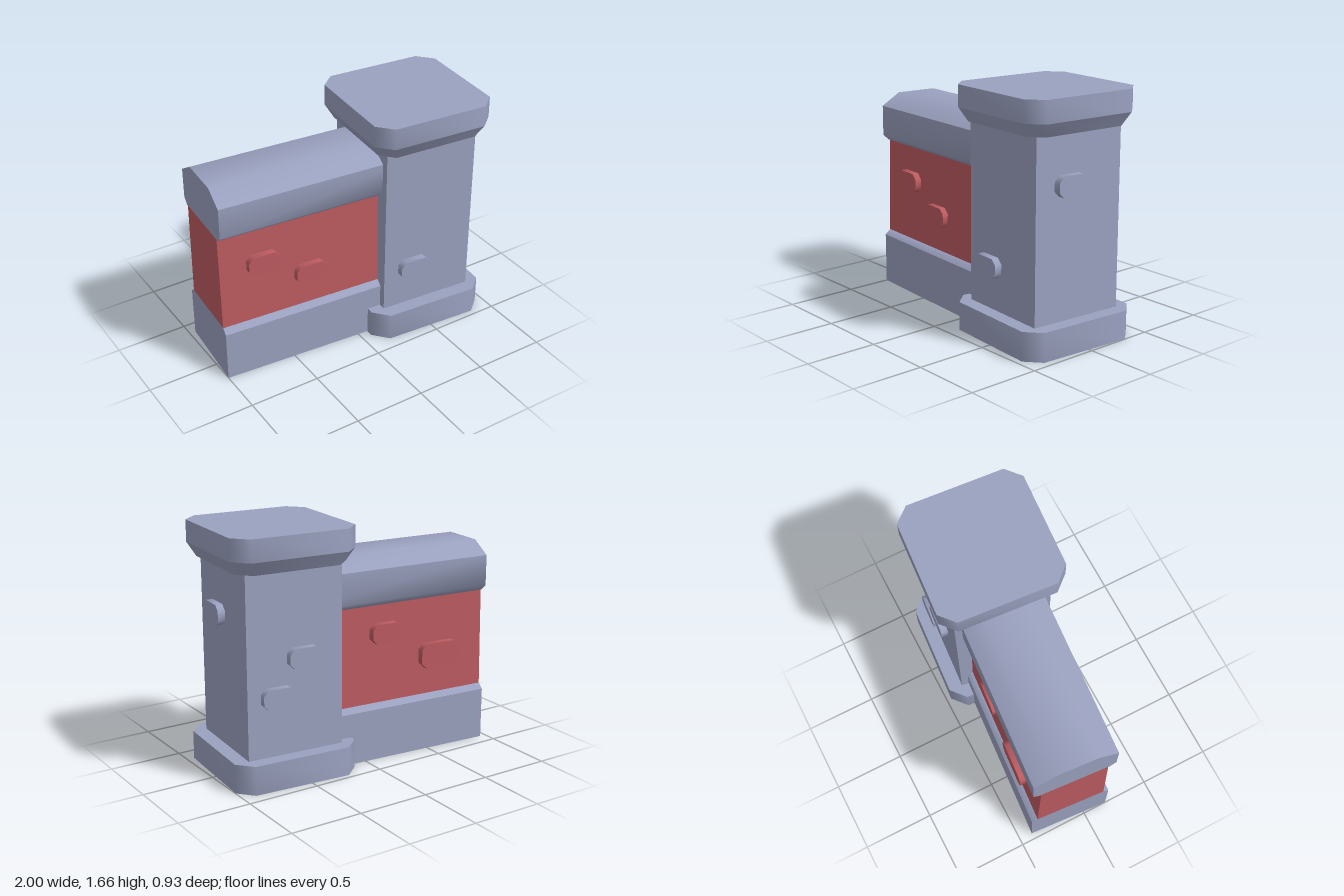
import * as THREE from 'three';
import { toCreasedNormals } from 'three/addons/utils/BufferGeometryUtils.js';

const stone = new THREE.MeshStandardMaterial({ color: 0x9aa1bf });
stone.name = 'blue grey stone';
const brickRed = new THREE.MeshStandardMaterial({ color: 0xbc5b60 });
brickRed.name = 'brick red';

const CREASE = 0.85;
const CZ = -0.043;      // centre line of wall and pillar
const PX = 0.533;       // pillar centre
const WALL_END = -0.984;

const shapeOf = (pts) => new THREE.Shape(pts.map(([x, y]) => new THREE.Vector2(x, y)));

// Rectangle with cut corners
function cutRect(hw, hh, c) {
  return shapeOf([
    [-hw + c, -hh], [hw - c, -hh], [hw, -hh + c], [hw, hh - c],
    [hw - c, hh], [-hw + c, hh], [-hw, hh - c], [-hw, -hh + c],
  ]);
}

const extrude = (shape, depth) => new THREE.ExtrudeGeometry(shape, { depth, bevelEnabled: false });

function mesh(name, geometry, material) {
  const m = new THREE.Mesh(toCreasedNormals(geometry, CREASE), material);
  m.name = name;
  return m;
}

// Wall course: half profile [half width, y] mirrored and run along x
function course(name, half, material) {
  const left = half.map(([w, y]) => [-w, y]).reverse();
  const g = extrude(shapeOf([...half, ...left]), 0.5 - WALL_END);
  g.rotateY(Math.PI / 2).translate(WALL_END, 0, CZ);
  return mesh(name, g, material);
}

// Square pillar block with cut corners; the bottom may be narrower
function block(name, half, cut, y0, y1, bottomScale = 1) {
  const g = extrude(cutRect(half, half, cut), y1 - y0);
  g.rotateX(-Math.PI / 2);
  const p = g.attributes.position;
  for (let i = 0; i < p.count; i++) {
    if (p.getY(i) < 0.001) p.setXYZ(i, p.getX(i) * bottomScale, 0, p.getZ(i) * bottomScale);
  }
  g.translate(PX, y0, CZ);
  return mesh(name, g, stone);
}

// Raised brick with its outer face at the given point, facing along angle
function brick(name, material, x, y, z, angle, hw = 0.112, hh = 0.068) {
  const m = mesh(name, extrude(cutRect(hw, hh, 0.036), 0.1).translate(0, 0, -0.1), material);
  m.position.set(x, y, z);
  m.rotation.y = angle;
  return m;
}

export function createModel() {
  const root = new THREE.Group();
  root.name = 'wallWithPillar';
  const body = new THREE.Group();
  body.name = 'body';
  body.rotation.y = -0.0745;
  root.add(body);

  // Wall
  body.add(
    course('wallFooting', [[0.29, 0], [0.29, 0.36], [0.25, 0.395]], stone),
    course('wallPanel', [[0.25, 0.39], [0.235, 1.085]], brickRed),
    course('wallCoping', [[0.245, 1.08], [0.29, 1.12], [0.29, 1.335], [0.15, 1.42]], stone),
  );

  // Pillar
  const shaft = new THREE.BoxGeometry(0.684, 1.26, 0.684).translate(PX, 0.81, CZ);
  body.add(
    block('pillarBase', 0.44, 0.1, 0, 0.198),
    mesh('pillarShaft', shaft, stone),
    block('pillarCapFlare', 0.44, 0.1, 1.425, 1.517, 0.885),
    block('pillarCap', 0.44, 0.1, 1.517, 1.665),
  );

  // Raised bricks on wall and pillar
  const back = Math.PI;
  body.add(
    brick('wallBrickFrontUpper', brickRed, -0.68, 0.83, 0.243, 0),
    brick('wallBrickFrontLower', brickRed, -0.337, 0.648, 0.243, 0),
    brick('wallBrickBackUpper', brickRed, -0.19, 0.885, -0.333, back),
    brick('wallBrickBackLower', brickRed, -0.62, 0.675, -0.333, back, 0.15, 0.085),
    brick('pillarBrickFront', stone, 0.413, 0.497, 0.35, 0),
    brick('pillarBrickSide', stone, 0.925, 1.093, 0.04, Math.PI / 2),
    brick('pillarBrickBackUpper', stone, 0.48, 0.847, -0.434, back),
    brick('pillarBrickBackLower', stone, 0.67, 0.602, -0.434, back),
  );
  return root;
}
